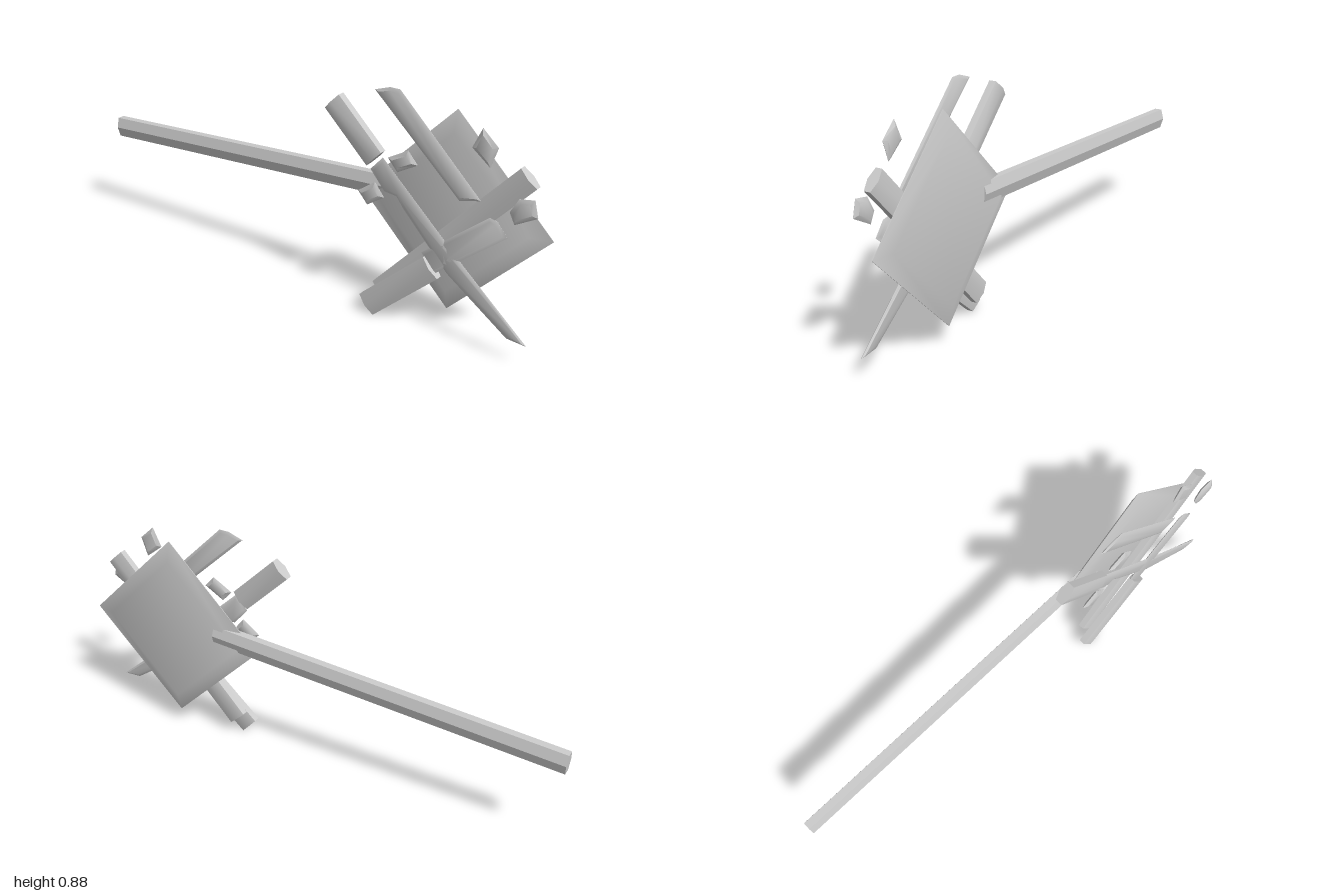
import * as THREE from 'three';
import { toCreasedNormals } from 'three/addons/utils/BufferGeometryUtils.js';

const material = new THREE.MeshStandardMaterial({ color: 0xcccccc });

function addMesh(group, name, geometry) {
  const mesh = new THREE.Mesh(toCreasedNormals(geometry, 0.55), material);
  mesh.name = name;
  group.add(mesh);
  return mesh;
}

// Flat outline in the xy plane, thinning towards its edge, centred on depth z
function addSlab(group, name, points, z, half, inset) {
  const shape = new THREE.Shape(points.map(([x, y]) => new THREE.Vector2(x, y)));
  const core = half * 0.1;
  const geometry = new THREE.ExtrudeGeometry(shape, {
    depth: core, bevelEnabled: true, bevelSegments: 1,
    bevelThickness: half - core / 2, bevelSize: inset, bevelOffset: -inset,
  });
  geometry.translate(0, 0, z - core / 2);
  return addMesh(group, name, geometry);
}

// Six-sided bar between two points of the plane z, with a ridge on front and back
function addBar(group, name, [x0, y0], [x1, y1], z, halfWidth, halfDepth) {
  const w = halfWidth, d = halfDepth, e = halfDepth * 0.56;
  const section = [[0, d], [-w, e], [-w, -e], [0, -d], [w, -e], [w, e]];
  const shape = new THREE.Shape(section.map(([x, y]) => new THREE.Vector2(x, y)));
  const geometry = new THREE.ExtrudeGeometry(shape, {
    depth: Math.hypot(x1 - x0, y1 - y0), bevelEnabled: false,
  });
  const along = new THREE.Vector3(x1 - x0, y1 - y0, 0).normalize();
  const up = new THREE.Vector3(0, 0, 1);
  const across = new THREE.Vector3().crossVectors(up, along);
  geometry.applyMatrix4(new THREE.Matrix4().makeBasis(across, up, along).setPosition(x0, y0, z));
  return addMesh(group, name, geometry);
}

export function createModel() {
  const group = new THREE.Group();
  group.name = 'bladesOnPlate';

  // Square plate standing on its corner, and the long shaft running into it
  addSlab(group, 'plate', [[0.615, 0.83], [0.235, 0.45], [0.615, 0.07], [0.995, 0.45]], -0.041, 0.021, 0.056);
  addBar(group, 'shaft', [-1, 0.4], [0.42, 0.487], -0.044, 0.04, 0.026);

  // Bar across the front of the plate
  addBar(group, 'crossBar', [0.365, 0.085], [0.915, 0.675], 0.006, 0.042, 0.0215);

  // Two handles
  addBar(group, 'upperHandle', [0.17, 0.79], [0.35, 0.615], 0.044, 0.042, 0.025);
  addBar(group, 'lowerHandle', [0.335, 0.034], [0.595, 0.268], 0.046, 0.045, 0.023);

  // Thin blades
  const blades = {
    longBlade: [[0.38, 0.625], [0.72, 0.305], [0.97, 0.085], [0.895, 0.09], [0.655, 0.26],
      [0.47, 0.455], [0.44, 0.495], [0.39, 0.5], [0.33, 0.57]],
    shortBlade: [[0.6, 0.24], [0.87, 0.46], [0.83, 0.51], [0.8, 0.515], [0.55, 0.31]],
    looseBlade: [[0.34, 0.865], [0.4, 0.885], [0.44, 0.885], [0.765, 0.565], [0.685, 0.545]],
  };
  for (const [name, points] of Object.entries(blades)) addSlab(group, name, points, 0.045, 0.005, 0.012);

  // Guard pieces beside the blades
  const guards = [
    [[0.4, 0.63], [0.48, 0.675], [0.52, 0.63], [0.44, 0.585]],
    [[0.28, 0.475], [0.35, 0.525], [0.39, 0.475], [0.32, 0.43]],
    [[0.72, 0.745], [0.755, 0.82], [0.815, 0.765], [0.79, 0.69]],
    [[0.87, 0.555], [0.9, 0.61], [0.955, 0.62], [0.97, 0.56], [0.89, 0.515]],
  ];
  guards.forEach((points, i) => addSlab(group, `guardPiece${i + 1}`, points, 0.045, 0.009, 0.015));

  return group;
}
